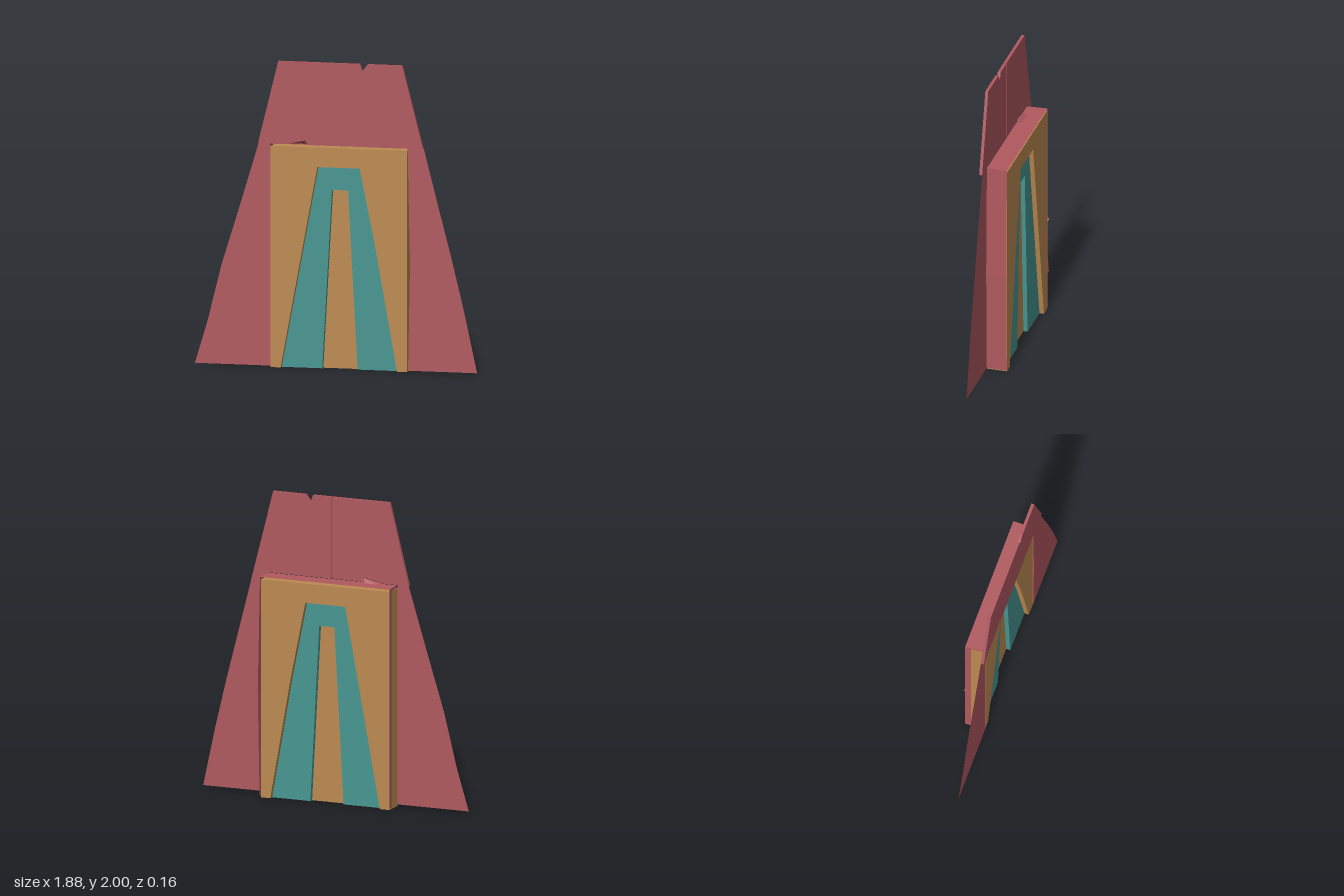
import * as THREE from 'three';

const red = new THREE.MeshStandardMaterial({ color: 0xb0595f, side: THREE.DoubleSide });
red.name = 'dusty red';
const brown = new THREE.MeshStandardMaterial({ color: 0xbd8b51 });
brown.name = 'ochre brown';
const teal = new THREE.MeshStandardMaterial({ color: 0x469692 });
teal.name = 'teal';

const shapeOf = (pts) => new THREE.Shape(pts.map(([x, y]) => new THREE.Vector2(x, y)));

// Straight slab with the given outline between two depths
function slab(name, pts, z0, z1, material) {
  const geo = new THREE.ExtrudeGeometry(shapeOf(pts), { depth: z1 - z0, bevelEnabled: false });
  geo.translate(0, 0, z0);
  const mesh = new THREE.Mesh(geo, material);
  mesh.name = name;
  return mesh;
}

// Paper-thin flat panel facing the front
function panel(name, pts, z) {
  const mesh = new THREE.Mesh(new THREE.ShapeGeometry(shapeOf(pts)).translate(0, 0, z), red);
  mesh.name = name;
  return mesh;
}

// Thin sheet joining a front edge to a back edge
function sheet(name, front, back) {
  const index = [];
  for (let i = 0; i < front.length - 1; i++) {
    const a = i, b = i + 1, c = i + front.length, d = c + 1;
    index.push(a, c, b, b, c, d);
  }
  const geo = new THREE.BufferGeometry();
  geo.setAttribute('position', new THREE.Float32BufferAttribute([...front, ...back].flat(), 3));
  geo.setIndex(index);
  const flat = geo.toNonIndexed();
  flat.computeVertexNormals();
  const mesh = new THREE.Mesh(flat, red);
  mesh.name = name;
  return mesh;
}

export function createModel() {
  const model = new THREE.Group();
  model.name = 'panelledArch';
  const zFront = 0.065, zBack = -0.07;

  // Nested doorway: each step is set deeper, on both faces
  model.add(slab('outerFrame', [
    [-0.437, 0], [-0.37, 0], [-0.125, 1.315], [0.157, 1.315], [0.262, 0.8], [0.405, 0],
    [0.472, 0], [0.472, 1.442], [-0.437, 1.442],
  ], -0.068, 0.062, brown));
  model.add(slab('tealArch', [
    [-0.37, 0], [-0.1, 0], [-0.035, 1.165], [0.072, 1.165], [0.135, 0],
    [0.405, 0], [0.262, 0.8], [0.157, 1.315], [-0.125, 1.315],
  ], -0.038, 0.032, teal));
  model.add(slab('innerDoor', [
    [-0.1, 0], [0.135, 0], [0.072, 1.165], [-0.035, 1.165],
  ], -0.01, 0.004, brown));

  // Sloping side wings
  model.add(panel('rightWing', [
    [-0.94, 0.01], [-0.435, 0.01], [-0.435, 1.46], [-0.515, 1.46], [-0.64, 1.05],
    [-0.765, 0.65], [-0.855, 0.29],
  ], zFront));
  model.add(panel('leftWing', [
    [0.94, 0.01], [0.855, 0.4], [0.77, 0.75], [0.665, 1.15], [0.585, 1.46],
    [0.477, 1.46], [0.493, 0.7], [0.48, 0.01],
  ], zFront));

  // Thin casing around the doorway block
  const casing = (z, dx) => [
    [-0.434 + dx, 0.01, z], [-0.434 + dx, 1.458, z],
    [0.477, 1.458, z], [0.493, 0.7, z], [0.48, 0.01, z],
  ];
  model.add(sheet('casing', casing(zFront, 0.004), casing(zBack, -0.006)));

  // Upper plate, with a nick in each edge; its back is split by a narrow groove
  const nick = [[-0.18, 1.46], [-0.2, 1.488], [-0.34, 1.46]];
  model.add(slab('upperPlate', [
    [-0.515, 1.46], [-0.38, 2], [0.163, 2], [0.18, 1.952], [0.215, 2], [0.445, 2],
    [0.585, 1.46], ...nick,
  ], 0.072, 0.085, red));
  model.add(slab('upperBackRight', [
    [-0.515, 1.46], [-0.38, 2], [0.018, 2], [0.018, 1.46], ...nick,
  ], zFront, 0.072, red));
  model.add(slab('upperBackLeft', [
    [0.034, 1.46], [0.034, 2], [0.163, 2], [0.18, 1.952], [0.215, 2], [0.445, 2], [0.585, 1.46],
  ], zFront, 0.072, red));

  // Small raised chips on the casing
  model.add(sheet('topChip',
    [[-0.34, 1.459, 0.06], [-0.2, 1.488, 0.06], [-0.18, 1.459, 0.06]],
    [[-0.3, 1.459, 0.03], [-0.22, 1.459, 0.03], [-0.19, 1.459, 0.03]]));
  model.add(sheet('sideChip',
    [[-0.437, 0.62, -0.06], [-0.455, 0.65, -0.08], [-0.437, 0.69, -0.06]],
    [[-0.437, 0.63, -0.04], [-0.437, 0.65, -0.04], [-0.437, 0.67, -0.04]]));

  return model;
}
